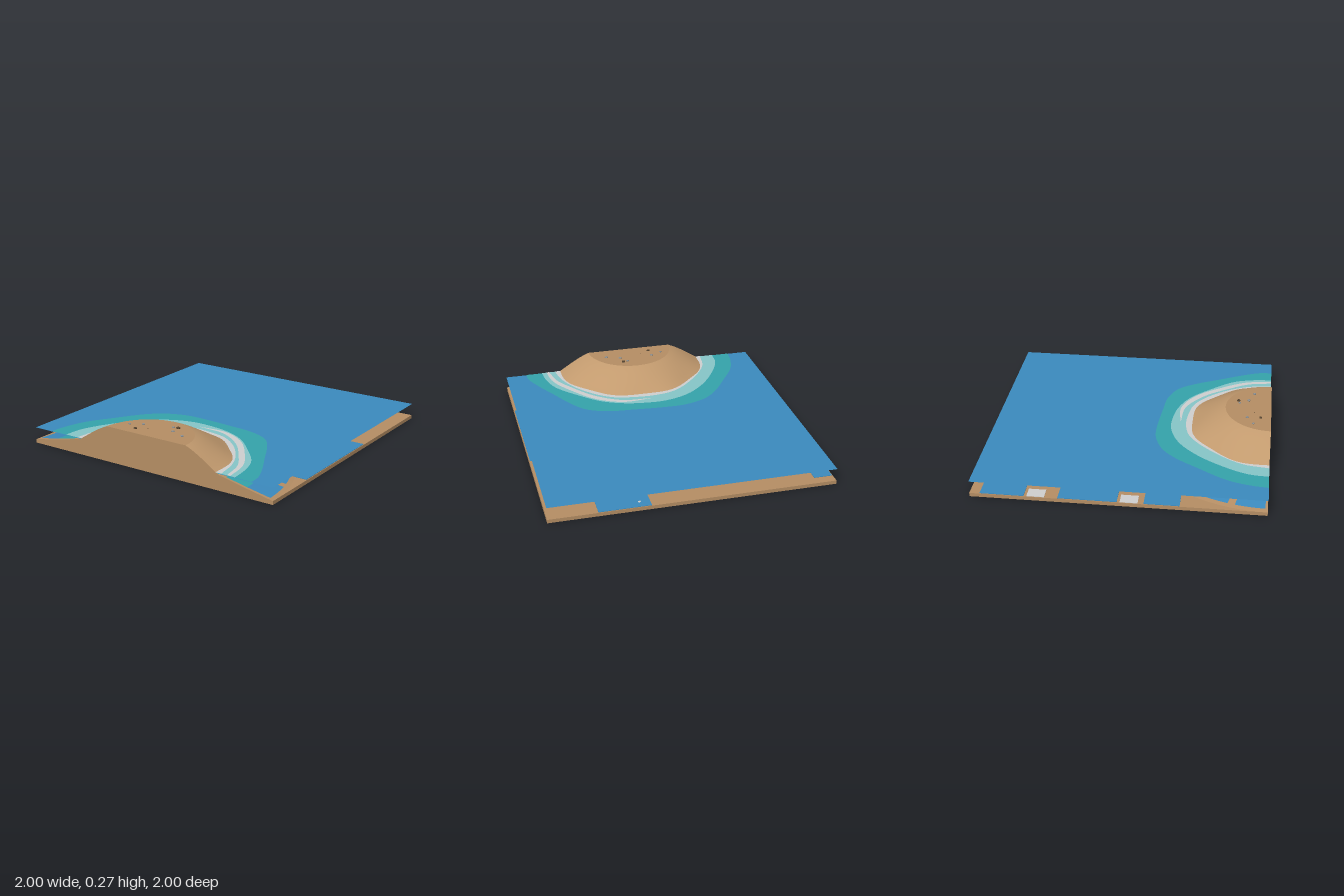
import * as THREE from 'three';

const mat = (name, color, side = THREE.FrontSide) => {
  const m = new THREE.MeshStandardMaterial({ color, side });
  m.name = name;
  return m;
};

export function createModel() {
  const model = new THREE.Group();
  model.name = 'island';
  const sand = mat('sand', 0xb58e64);
  const slopeSand = mat('slope sand', 0xc29a6e);
  const water = mat('deep water', 0x3b8abe, THREE.DoubleSide);
  const teal = mat('shallow water', 0x35a3ab, THREE.DoubleSide);
  const pale = mat('surf', 0x86c6c8, THREE.DoubleSide);
  const foam = mat('foam', 0xcfcfcf, THREE.DoubleSide);
  const stone = mat('grey stone', 0x8a8e90);
  const darkStone = mat('dark stone', 0x54432f);

  const add = (name, geometry, material, x = 0, y = 0, z = 0) => {
    const mesh = new THREE.Mesh(geometry, material);
    mesh.name = name;
    mesh.position.set(x, y, z);
    model.add(mesh);
    return mesh;
  };

  // Sea bed slab
  const bed = 0.026;
  add('seaBed', new THREE.BoxGeometry(2, bed, 2), sand, 0, bed / 2, 0);

  // Half-round hill centred on the front edge: [radius, height]
  const foot = [[1, bed], [0.8, 0.065], [0.6, 0.108]];
  const slope = [[0.6, 0.108], [0.57, 0.12], [0.52, 0.152], [0.46, 0.191], [0.4, 0.225], [0.36, 0.244], [0.33, 0.256]];
  const top = [[0.33, 0.256], [0, 0.256]];
  const vecs = (list) => list.map(([x, y]) => new THREE.Vector2(x, y));
  const halfLathe = (list, start = 0, length = Math.PI, segments = 48) =>
    new THREE.LatheGeometry(vecs(list), segments, Math.PI / 2 + start, length);

  add('hillFoot', halfLathe(foot), sand, 0, 0, 1);
  const slopeGeometry = halfLathe(slope);
  const p = slopeGeometry.attributes.position;
  // Slight facets around the waterline
  for (let i = 0; i < p.count; i++) {
    const x = p.getX(i), z = p.getZ(i), r = Math.hypot(x, z);
    const amount = Math.max(0, 1 - Math.abs(r - 0.57) / 0.13) * 0.018;
    const k = 1 + amount * (1 - Math.cos(8 * Math.atan2(z, x)));
    p.setX(i, x * k);
    p.setZ(i, z * k);
  }
  slopeGeometry.computeVertexNormals();
  add('hillSlope', slopeGeometry, slopeSand, 0, 0, 1);
  add('hillTop', halfLathe(top), sand, 0, 0, 1);

  // Flat cut face of the hill at the front
  const half = [...foot, ...slope.slice(1)];
  const outline = [...half, ...half.map(([x, y]) => [-x, y]).reverse()];
  add('hillFrontFace', new THREE.ShapeGeometry(new THREE.Shape(vecs(outline))), sand, 0, 0, 1);

  // Water sheet
  add('waterSheet', new THREE.PlaneGeometry(2, 2).rotateX(-Math.PI / 2), water, 0, 0.116, 0);

  // Curved bands round the shore, as smooth open curves of [x, z]
  const curve = (list) =>
    new THREE.CatmullRomCurve3(list.map(([x, z]) => new THREE.Vector3(x, -z, 0)))
      .getPoints(60).map((v) => new THREE.Vector2(v.x, v.y));
  const sheet = (name, points, material, y) =>
    add(name, new THREE.ShapeGeometry(new THREE.Shape(points)).rotateX(-Math.PI / 2), material, 0, y, 0);

  sheet('shallowBand', curve([[-0.845, 1], [-0.83, 0.875], [-0.78, 0.715], [-0.66, 0.525], [-0.53, 0.34],
    [-0.42, 0.245], [-0.26, 0.187], [-0.1, 0.182], [0.14, 0.2], [0.33, 0.22], [0.49, 0.29], [0.59, 0.42],
    [0.68, 0.59], [0.78, 0.78], [0.835, 0.915], [0.84, 1]]), teal, 0.1185);
  sheet('surfBand', curve([[-0.71, 1], [-0.695, 0.86], [-0.61, 0.675], [-0.475, 0.485], [-0.315, 0.35],
    [-0.13, 0.285], [0.03, 0.285], [0.19, 0.315], [0.35, 0.39], [0.51, 0.54], [0.65, 0.71],
    [0.7, 0.86], [0.715, 1]]), pale, 0.1205);
  sheet('foamBand', curve([[-0.605, 1], [-0.57, 0.81], [-0.42, 0.59], [-0.235, 0.43], [-0.075, 0.39],
    [0.085, 0.395], [0.245, 0.43], [0.38, 0.525], [0.51, 0.685], [0.58, 0.835], [0.61, 1]]), foam, 0.1225);
  sheet('foamStreak', [
    ...curve([[-0.03, 0.345], [0.19, 0.335], [0.38, 0.43], [0.54, 0.62], [0.65, 0.81], [0.68, 1]]),
    ...curve([[0.655, 1], [0.62, 0.83], [0.52, 0.665], [0.38, 0.49], [0.19, 0.368], [-0.02, 0.348]]),
  ], foam, 0.1225);

  // Coloured patches on the submerged slope, mirrored left and right
  const rad = Math.PI / 180;
  for (const [from, to] of [[1, 13], [16, 28], [32, 89]]) {
    for (const start of [from, 180 - to]) {
      const arc = (list) => halfLathe(list, start * rad, (to - from) * rad, 16);
      add('deepPatch', arc([[0.97, 0.035], [0.8, 0.068]]), water, 0, 0, 1);
      add('shallowPatch', arc([[0.8, 0.068], [0.64, 0.102]]), teal, 0, 0, 1);
    }
  }

  // Patches along the edges of the sea bed: x, z, width, depth, material
  for (const [x, z, w, d, m] of [
    [0.9, 0.18, 0.19, 0.8, water], [0.48, -0.9, 0.36, 0.19, water], [0.34, -0.96, 0.08, 0.07, foam],
    [-0.93, -0.78, 0.13, 0.3, water], [-0.95, -0.55, 0.09, 0.12, foam],
    [-0.93, -0.2, 0.13, 0.4, water], [-0.95, 0.08, 0.09, 0.12, foam], [-0.93, 0.3, 0.13, 0.24, water],
  ]) add('bedPatch', new THREE.BoxGeometry(w, 0.003, d), m, x, bed + 0.0015, z);

  // Small stones on the hilltop: x, z, radius, material
  [[-0.235, 0.875, 0.011, stone], [-0.15, 0.83, 0.013, stone], [-0.145, 0.925, 0.014, darkStone],
    [0.06, 0.77, 0.012, stone], [0.095, 0.762, 0.016, darkStone], [0.105, 0.835, 0.014, stone],
    [0.21, 0.875, 0.014, stone], [-0.07, 0.77 + 0.11, 0.004, darkStone],
  ].forEach(([x, z, r, m], i) => {
    const geometry = new THREE.DodecahedronGeometry(r, 0).rotateY(i * 1.3).scale(1, 0.6, 0.85);
    add('stone', geometry, m, x, 0.258, z);
  });

  return model;
}
